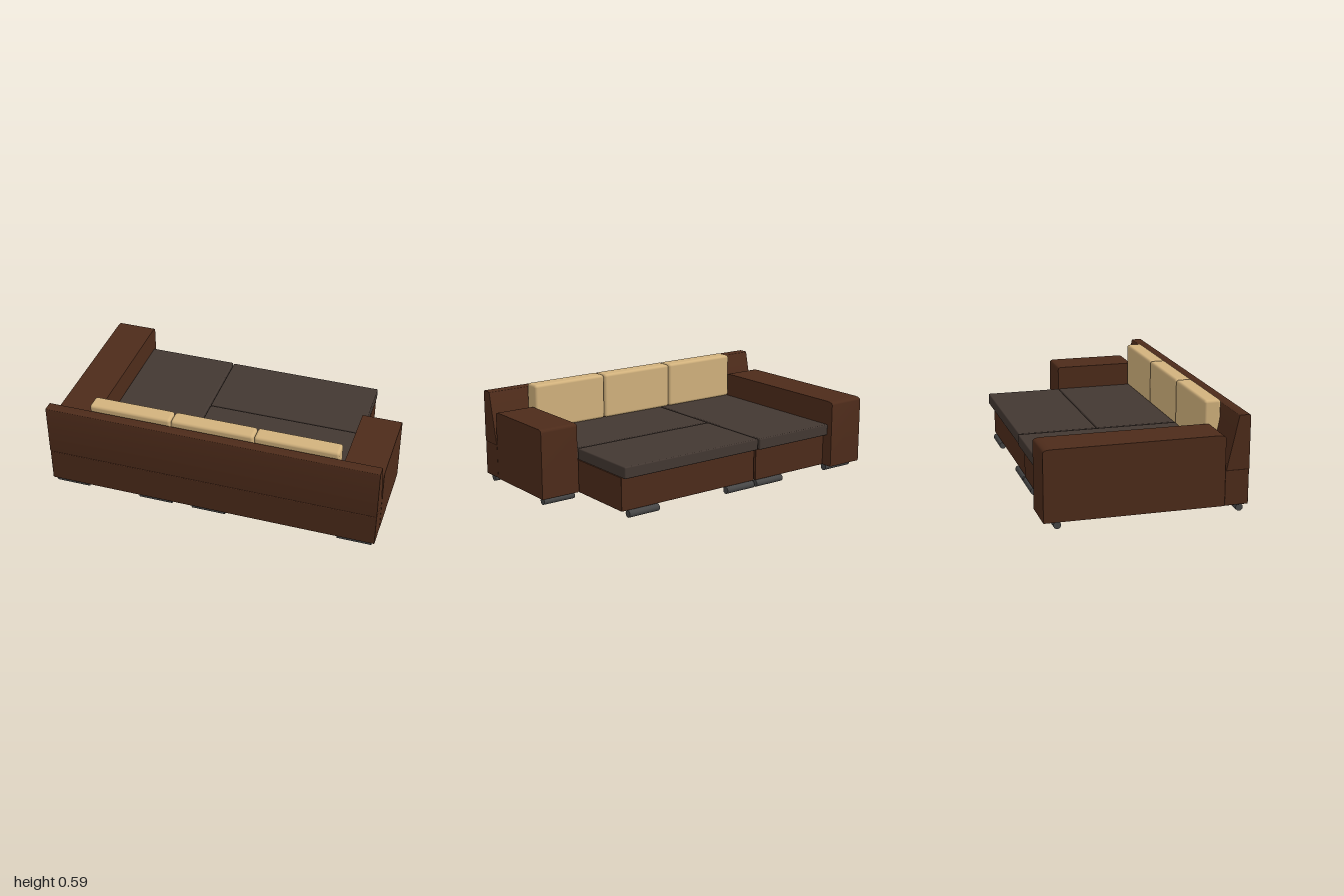
import * as THREE from 'three';
import { RoundedBoxGeometry } from 'three/addons/geometries/RoundedBoxGeometry.js';
import { toCreasedNormals } from 'three/addons/utils/BufferGeometryUtils.js';

const mat = (color) => new THREE.MeshStandardMaterial({ color });

export function createModel() {
  const group = new THREE.Group();
  const brown = mat(0x4d2b1a), seat = mat(0x433832), cream = mat(0xd2b27d), dark = mat(0x464646);

  const add = (name, geometry, material) => {
    const mesh = new THREE.Mesh(geometry, material);
    mesh.name = name;
    group.add(mesh);
    return mesh;
  };

  // Box given by its limits on each axis, with softened edges
  const block = (name, [x0, x1], [y0, y1], [z0, z1], r, material) => {
    const mesh = add(name, new RoundedBoxGeometry(x1 - x0, y1 - y0, z1 - z0, 4, r), material);
    mesh.position.set((x0 + x1) / 2, (y0 + y1) / 2, (z0 + z1) / 2);
  };

  // Side profile drawn in (z, y) and swept across x
  const sweep = (name, shape, x0, x1) => {
    const g = new THREE.ExtrudeGeometry(shape, { depth: x1 - x0, bevelEnabled: false, curveSegments: 6 });
    g.translate(0, 0, (x0 - x1) / 2);
    g.rotateY(-Math.PI / 2);
    add(name, toCreasedNormals(g, 0.6), brown).position.x = (x0 + x1) / 2;
  };

  // Armrests: top front and top rear edges are rounded
  const arm = (name, x0, x1, z0, z1, rz) => {
    const y0 = 0.045, y1 = 0.455, ry = 0.018;
    const s = new THREE.Shape();
    s.moveTo(z0, y0);
    s.lineTo(z1, y0);
    s.lineTo(z1, y1 - ry);
    s.quadraticCurveTo(z1, y1, z1 - rz, y1);
    s.lineTo(z0 + rz, y1);
    s.quadraticCurveTo(z0, y1, z0, y1 - ry);
    s.closePath();
    sweep(name, s, x0, x1);
  };
  arm('longArmrest', -1, -0.76, -0.585, 0.445, 0.05);
  arm('shortArmrest', 0.76, 1, -0.07, 0.445, 0.025);

  // Backrest: plinth below, tapering wedge above
  block('backrestBase', [-1, 1], [0.045, 0.249], [0.446, 0.585], 0.005, brown);
  const wedge = new THREE.Shape();
  wedge.moveTo(0.45, 0.25);
  wedge.lineTo(0.585, 0.25);
  wedge.lineTo(0.585, 0.555);
  wedge.quadraticCurveTo(0.585, 0.563, 0.577, 0.563);
  wedge.lineTo(0.527, 0.563);
  wedge.quadraticCurveTo(0.52, 0.563, 0.518, 0.555);
  wedge.closePath();
  sweep('backrest', wedge, -1, 1);

  // Seat sections, each a brown box with a mattress pad on top
  const sections = [
    ['chaise', [-0.76, -0.208], -0.515, -0.552, 0.445],
    ['pullOut', [-0.2, 0.758], -0.51, -0.546, -0.07],
    ['mainSeat', [-0.2, 0.76], -0.064, -0.064, 0.445],
  ];
  for (const [name, x, boxFront, padFront, back] of sections) {
    block(name + 'Box', x, [0.045, 0.242], [boxFront, back], 0.004, brown);
    block(name + 'Pad', x, [0.242, 0.31], [padFront, back], 0.007, seat);
  }

  // Three back cushions
  for (const x of [-0.504, -0.002, 0.5]) {
    block('backCushion', [x - 0.249, x + 0.249], [0.311, 0.588], [0.406, 0.506], 0.017, cream);
  }

  // Roller feet lying along x, in rows by depth
  const rows = [
    [0.54, [-0.88, -0.345, -0.012, 0.875]],
    [-0.03, [-0.09, 0.875]],
    [-0.505, [-0.88, -0.315, -0.09, 0.61]],
  ];
  const roller = new THREE.CylinderGeometry(0.0215, 0.0215, 0.205, 24).rotateZ(Math.PI / 2);
  for (const [z, xs] of rows) {
    for (const x of xs) add('rollerFoot', roller, dark).position.set(x, 0.0225, z);
  }
  return group;
}
